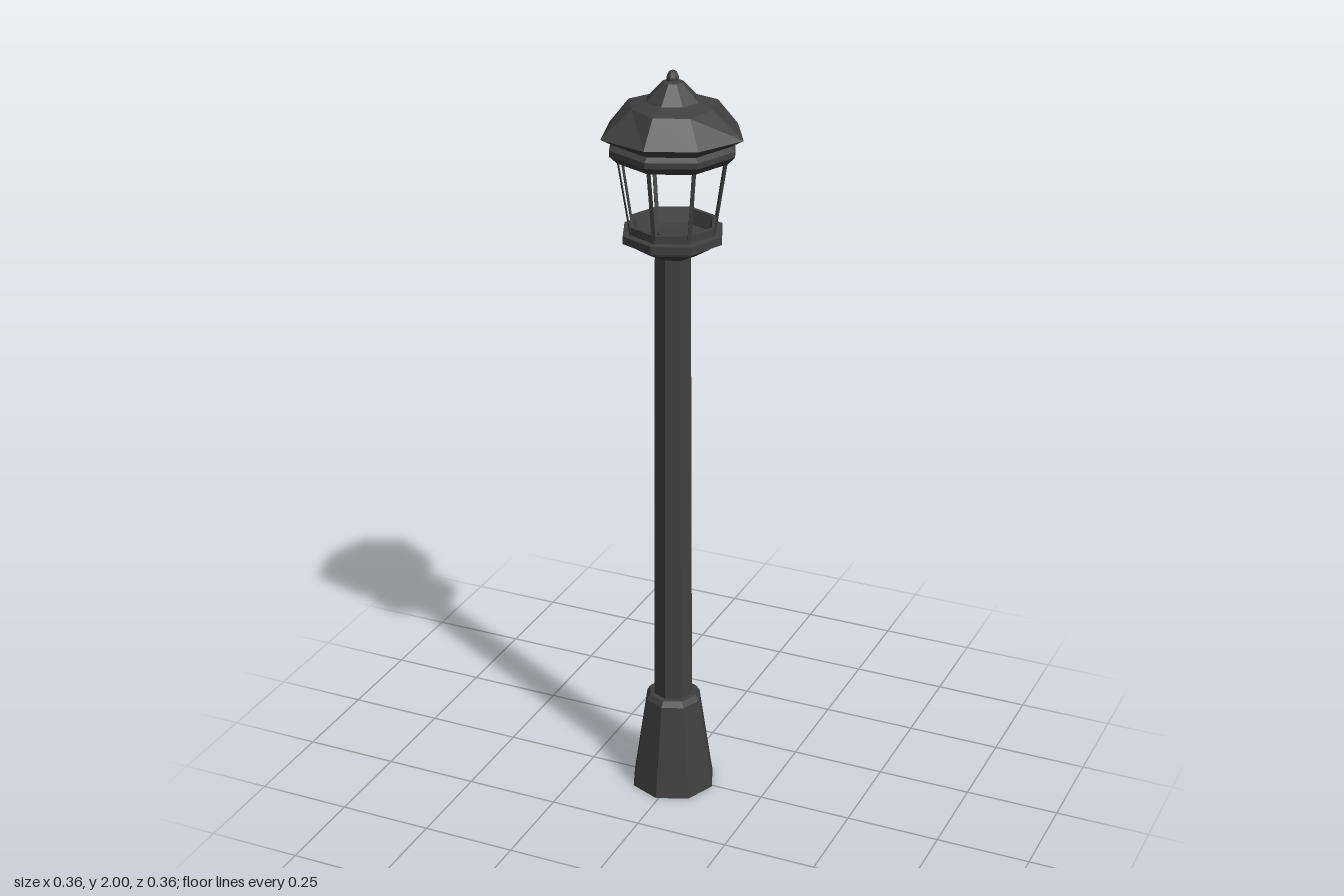
import * as THREE from 'three';

const SIDES = 8;
const iron = new THREE.MeshStandardMaterial({ color: 0x404040, flatShading: true, side: THREE.DoubleSide });

// Eight-sided turned part from a list of [radius, height], bottom to top
function turned(name, profile, sides = SIDES) {
  const points = profile.map(([r, y]) => new THREE.Vector2(r, y));
  const mesh = new THREE.Mesh(new THREE.LatheGeometry(points, sides), iron);
  mesh.name = name;
  return mesh;
}

// Roof shell; some corners are bent outwards at the eave and inwards at the shoulder
function makeRoof() {
  const profile = [[0.145, 1.78], [0.165, 1.8], [0.165, 1.815], [0.152, 1.825],
    [0.171, 1.845], [0.118, 1.912], [0.068, 1.925], [0.026, 1.97]];
  const EAVE = 4, SHOULDER = 5;
  const bentCorners = [2, 4, 5, 7];
  const roof = turned('roof', profile);
  const pos = roof.geometry.attributes.position;
  for (let i = 0; i < pos.count; i++) {
    const ring = i % profile.length;
    const corner = Math.floor(i / profile.length) % SIDES;
    if (!bentCorners.includes(corner)) continue;
    const scale = ring === EAVE ? 0.187 / 0.171 : ring === SHOULDER ? 0.106 / 0.118 : 1;
    pos.setX(i, pos.getX(i) * scale);
    pos.setZ(i, pos.getZ(i) * scale);
  }
  return roof;
}

// Thin flat bars leaning outwards at each corner of the lantern
function makeBars() {
  const bars = new THREE.Group();
  bars.name = 'lanternBars';
  const low = new THREE.Vector2(0.113, 1.6), high = new THREE.Vector2(0.143, 1.785);
  const length = low.distanceTo(high);
  const lean = Math.atan2(high.x - low.x, high.y - low.y);
  for (let k = 0; k < SIDES; k++) {
    const arm = new THREE.Group();
    arm.name = 'barArm';
    const bar = new THREE.Mesh(new THREE.BoxGeometry(0.01, length, 0.002), iron);
    bar.name = 'bar';
    bar.position.set(0, (low.y + high.y) / 2, (low.x + high.x) / 2);
    bar.rotation.x = lean;
    arm.rotation.y = (k / SIDES) * Math.PI * 2;
    arm.add(bar);
    bars.add(arm);
  }
  return bars;
}

export function createModel() {
  const lamp = new THREE.Group();
  lamp.name = 'streetLamp';
  lamp.add(
    turned('base', [[0, 0], [0.115, 0], [0.076, 0.26], [0.066, 0.275], [0.05, 0.277]]),
    turned('pole', [[0.054, 0.27], [0.048, 1.54]]),
    // Open dish that carries the lantern
    turned('lanternTray', [[0.045, 1.525], [0.062, 1.53], [0.1, 1.553], [0.105, 1.568], [0.132, 1.57],
      [0.132, 1.59], [0.115, 1.592], [0.115, 1.612], [0.105, 1.612], [0.095, 1.575], [0, 1.565]]),
    turned('lampSocket', [[0.045, 1.56], [0.04, 1.585], [0, 1.585]]),
    makeBars(),
    makeRoof(),
    turned('finial', [[0.026, 1.97], [0.016, 1.974], [0.016, 1.982], [0.01, 1.995], [0, 2]]),
  );
  // The post stands slightly off the centre because of the bent eave
  lamp.position.set(-0.007, 0, 0.005);
  const model = new THREE.Group();
  model.add(lamp);
  return model;
}
